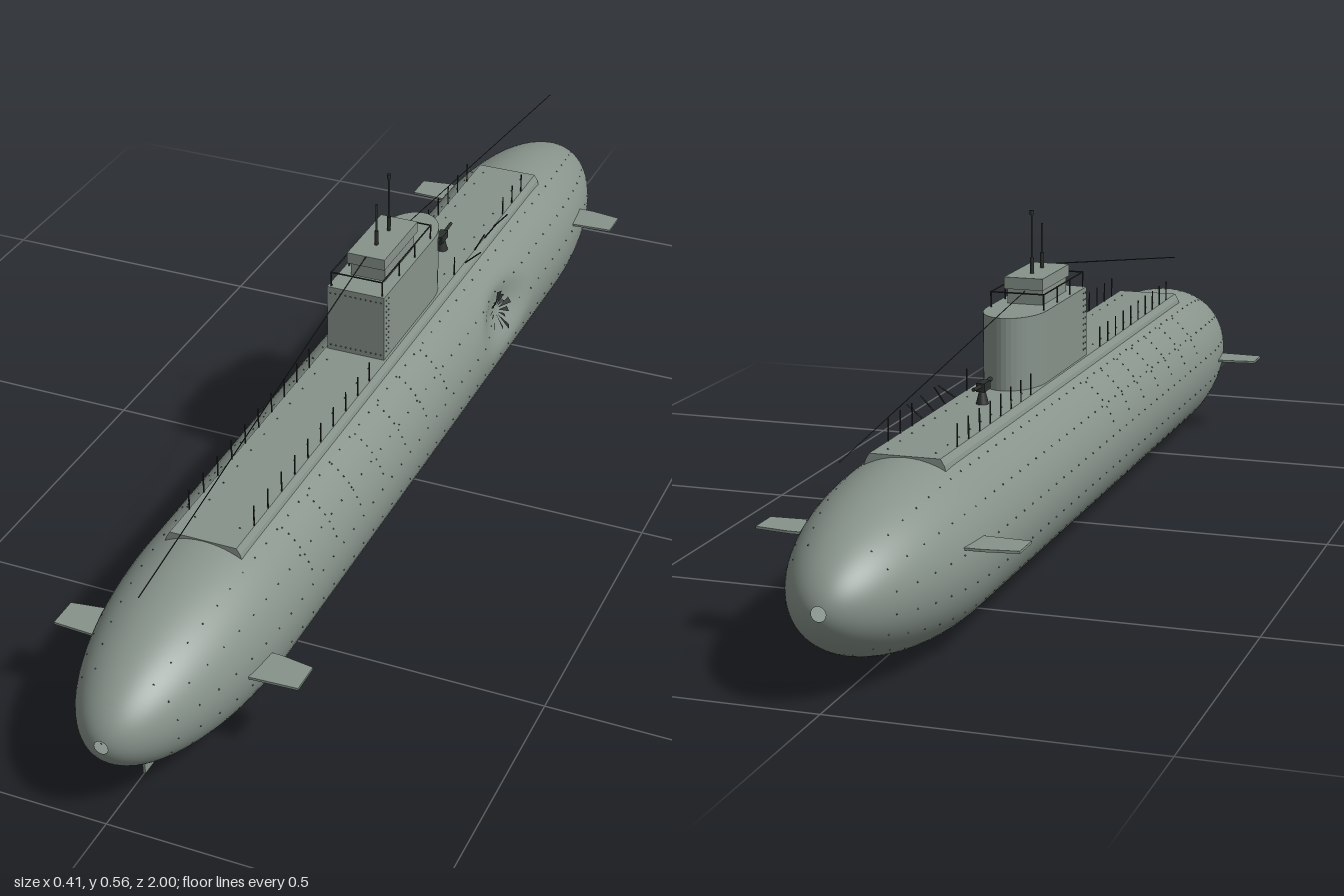
import * as THREE from 'three';
import { mergeGeometries } from 'three/addons/utils/BufferGeometryUtils.js';

const R = 0.138, CY = 0.143, DECK = 0.282;
const V = (x, y, z) => new THREE.Vector3(x, y, z);

// Hull radius at a station along z: parallel middle, elliptical ends
function hullRadius(z) {
  const t = Math.max(0, (Math.abs(z) - 0.62) / 0.38);
  return R * Math.sqrt(Math.max(0, 1 - t * t));
}

// Point on the hull; angle 0 is +x, 90 degrees is up
function hullPoint(z, angle) {
  const r = hullRadius(z);
  return V(Math.cos(angle) * r, CY + Math.sin(angle) * r, z);
}

// Pushes points near the damaged patch on the +x side inwards
function dent(p) {
  if (p.x < 0) return p;
  const d = ((p.z + 0.32) / 0.13) ** 2 + ((p.y - 0.18) / 0.06) ** 2;
  if (d < 1) p.x -= 0.026 * (1 - d) ** 2;
  return p;
}

function rod(a, b, r, sides = 6) {
  const g = new THREE.CylinderGeometry(r, r, a.distanceTo(b), sides);
  g.applyQuaternion(new THREE.Quaternion().setFromUnitVectors(V(0, 1, 0), b.clone().sub(a).normalize()));
  const m = a.clone().add(b).multiplyScalar(0.5);
  return g.translate(m.x, m.y, m.z);
}

function box(w, h, d, x, y, z) {
  return new THREE.BoxGeometry(w, h, d).translate(x, y, z);
}

// Extrudes a plan outline (x, -z) upwards from y0
function plan(shape, y0, h) {
  return new THREE.ExtrudeGeometry(shape, { depth: h, bevelEnabled: false, curveSegments: 10 })
    .rotateX(-Math.PI / 2).translate(0, y0, 0);
}

function hullGeometry() {
  const pts = [], n = 140;
  for (let i = 0; i <= n; i++) {
    // stations bunch up towards the tips
    const z = Math.sin((i / n - 0.5) * Math.PI) * 0.9988;
    pts.push(new THREE.Vector2(hullRadius(z), z));
  }
  const g = new THREE.LatheGeometry(pts, 72).rotateX(Math.PI / 2).translate(0, CY, 0);
  const pos = g.attributes.position, p = V(0, 0, 0);
  for (let i = 0; i < pos.count; i++) {
    dent(p.fromBufferAttribute(pos, i));
    pos.setXYZ(i, p.x, p.y, p.z);
  }
  g.computeVertexNormals();
  return g;
}

export function createModel() {
  const group = new THREE.Group();
  const hullGrey = new THREE.MeshStandardMaterial({ color: 0x87938b, side: THREE.DoubleSide });
  hullGrey.name = 'hull grey';
  const dark = new THREE.MeshStandardMaterial({ color: 0x2b302d, side: THREE.DoubleSide });
  dark.name = 'dark steel';
  const add = (name, geo, mat) => {
    const m = new THREE.Mesh(Array.isArray(geo) ? mergeGeometries(geo) : geo, mat);
    m.name = name;
    group.add(m);
    return m;
  };

  add('hull', hullGeometry(), hullGrey);

  // Flat deck with sloping shoulders
  const section = new THREE.Shape([
    [-0.067, 0.255], [0.067, 0.255], [0.062, 0.272], [0.056, DECK], [-0.056, DECK], [-0.062, 0.272],
  ].map(([x, y]) => new THREE.Vector2(x, y)));
  add('deck', new THREE.ExtrudeGeometry(section, { depth: 1.33, bevelEnabled: false }).translate(0, 0, -0.67), hullGrey);

  // Conning tower: square at the front, rounded at the back
  const tower = new THREE.Shape();
  tower.moveTo(-0.052, -0.075);
  tower.lineTo(0.052, -0.075);
  tower.lineTo(0.052, 0.15);
  tower.absellipse(0, 0.15, 0.052, 0.082, 0, Math.PI, false);
  tower.closePath();
  add('conningTower', plan(tower, 0.272, 0.131), hullGrey);
  add('bridge', box(0.062, 0.028, 0.13, 0, 0.416, -0.043), hullGrey);
  add('bridgeRoof', box(0.068, 0.02, 0.148, 0, 0.439, -0.043), hullGrey);

  // Guard rail around the bridge
  const rail = [], zs = [0.07, -0.005, -0.075, -0.148];
  for (const s of [-1, 1]) {
    rail.push(rod(V(s * 0.046, 0.429, zs[0]), V(s * 0.046, 0.429, zs[3]), 0.0013));
    for (const z of zs) rail.push(rod(V(s * 0.046, 0.4, z), V(s * 0.046, 0.43, z), 0.0013));
  }
  for (const z of [zs[0], zs[3]]) rail.push(rod(V(-0.046, 0.429, z), V(0.046, 0.429, z), 0.0013));
  add('bridgeRail', rail, dark);

  // Masts
  add('masts', [
    rod(V(0, 0.445, -0.015), V(0, 0.525, -0.015), 0.002, 8),
    rod(V(0, 0.445, -0.07), V(0, 0.556, -0.07), 0.002, 8),
    rod(V(0, 0.445, -0.015), V(0, 0.475, -0.015), 0.0035, 8),
    rod(V(0, 0.445, -0.07), V(0, 0.475, -0.07), 0.0035, 8),
    rod(V(0, 0.548, -0.07), V(0, 0.556, -0.07), 0.004, 8),
  ], dark);

  // Aerial wires
  add('aerialWires', [
    rod(V(0, 0.317, 0.865), V(0, 0.448, 0.03), 0.001, 4),
    rod(V(0, 0.335, -0.915), V(0, 0.425, -0.11), 0.001, 4),
  ], dark);

  // Deck posts, some bent outwards beside the damage
  const posts = [];
  for (const s of [-1, 1]) {
    for (let i = 0; i < 10; i++) {
      for (const z of [0.145 + i * 0.05, -0.145 - i * 0.05]) {
        if (z < 0 && z > -0.23) continue;
        const bent = s > 0 && z < -0.28 && z > -0.47;
        const top = bent ? V(0.07 + 0.004 * (i % 4), 0.311 - 0.003 * (i % 4), z - 0.012) : V(s * 0.055, 0.318, z);
        posts.push(rod(V(s * 0.055, 0.28, z), top, 0.0013, 5));
      }
    }
  }
  add('deckPosts', posts, dark);

  // Deck gun
  add('deckGun', [
    new THREE.CylinderGeometry(0.005, 0.011, 0.024, 10).translate(0, 0.292, -0.325),
    box(0.014, 0.014, 0.03, 0, 0.31, -0.32),
    rod(V(0, 0.312, -0.335), V(0, 0.314, -0.368), 0.003, 8),
    rod(V(0, 0.312, -0.305), V(0, 0.314, -0.285), 0.004, 8),
  ], dark);

  // Diving planes, mirrored left and right
  const planeAt = (y, z, tipShift) => [-1, 1].map(s => {
    const outline = [[0.09, -0.034], [0.15, -0.034], [0.205, -0.026], [0.205, 0.028 + tipShift], [0.09, 0.034]];
    const pts = outline.map(([x, dz]) => new THREE.Vector2(s * x, -(z + dz)));
    return plan(new THREE.Shape(pts), y - 0.002, 0.004);
  });
  add('frontPlanes', planeAt(0.142, 0.742, 0), hullGrey);
  add('backPlanes', planeAt(0.177, -0.724, 0), hullGrey);

  // Rudder under the +z end
  const rudder = new THREE.Shape([[-0.88, 0], [-0.805, 0], [-0.795, 0.05], [-0.88, 0.07]]
    .map(([x, y]) => new THREE.Vector2(x, y)));
  add('rudder', new THREE.ExtrudeGeometry(rudder, { depth: 0.004, bevelEnabled: false })
    .rotateY(Math.PI / 2).translate(-0.002, 0, 0), hullGrey);

  // Rivet rows along the hull, plus upright columns near the middle
  const rivets = [];
  const rivet = p => rivets.push(new THREE.OctahedronGeometry(0.0017).translate(p.x, p.y, p.z));
  for (let k = 0; k < 16; k++) {
    const a = (k + 0.5) * Math.PI / 8;
    if (Math.sin(a) > 0.9) continue;
    for (let z = -0.92; z < 0.93; z += 0.04) rivet(dent(hullPoint(z, a)));
  }
  for (const s of [0, 1]) {
    for (let z = -0.02; z < 0.6; z += 0.095) {
      for (let a = 0.35; a < 0.95; a += 0.1) rivet(hullPoint(z, s ? Math.PI - a : a));
    }
  }
  for (const s of [-1, 1]) {
    for (let z = -0.64; z < 0.65; z += 0.05) rivet(V(s * 0.038, DECK, z));
    for (let y = 0.295; y < 0.395; y += 0.011) {
      rivet(V(s * 0.052, y, 0.066));
      rivet(V(s * 0.052, y, 0.056));
    }
  }
  for (let x = -0.046; x < 0.047; x += 0.0092) {
    for (const y of [0.291, 0.392]) rivet(V(x, y, 0.075));
  }
  add('rivets', rivets, dark);

  // Torn plates radiating around the dent
  const shards = [];
  for (let i = 0; i < 14; i++) {
    const a = i * Math.PI / 7, reach = 0.03 + 0.018 * ((i * 5) % 3) / 2;
    const at = (r, da, out) => {
      const p = V(R, 0.18 + Math.sin(a + da) * r * 0.75, -0.32 + Math.cos(a + da) * r);
      p.x = Math.sqrt(R * R - (p.y - CY) ** 2);
      dent(p).x += out;
      return p;
    };
    shards.push(new THREE.BufferGeometry().setFromPoints([at(0.012, 0, 0.002), at(reach, -0.14, 0.003), at(reach, 0.14, 0.007)]));
    shards[i].computeVertexNormals();
  }
  add('tornPlates', shards, dark);

  return group;
}
